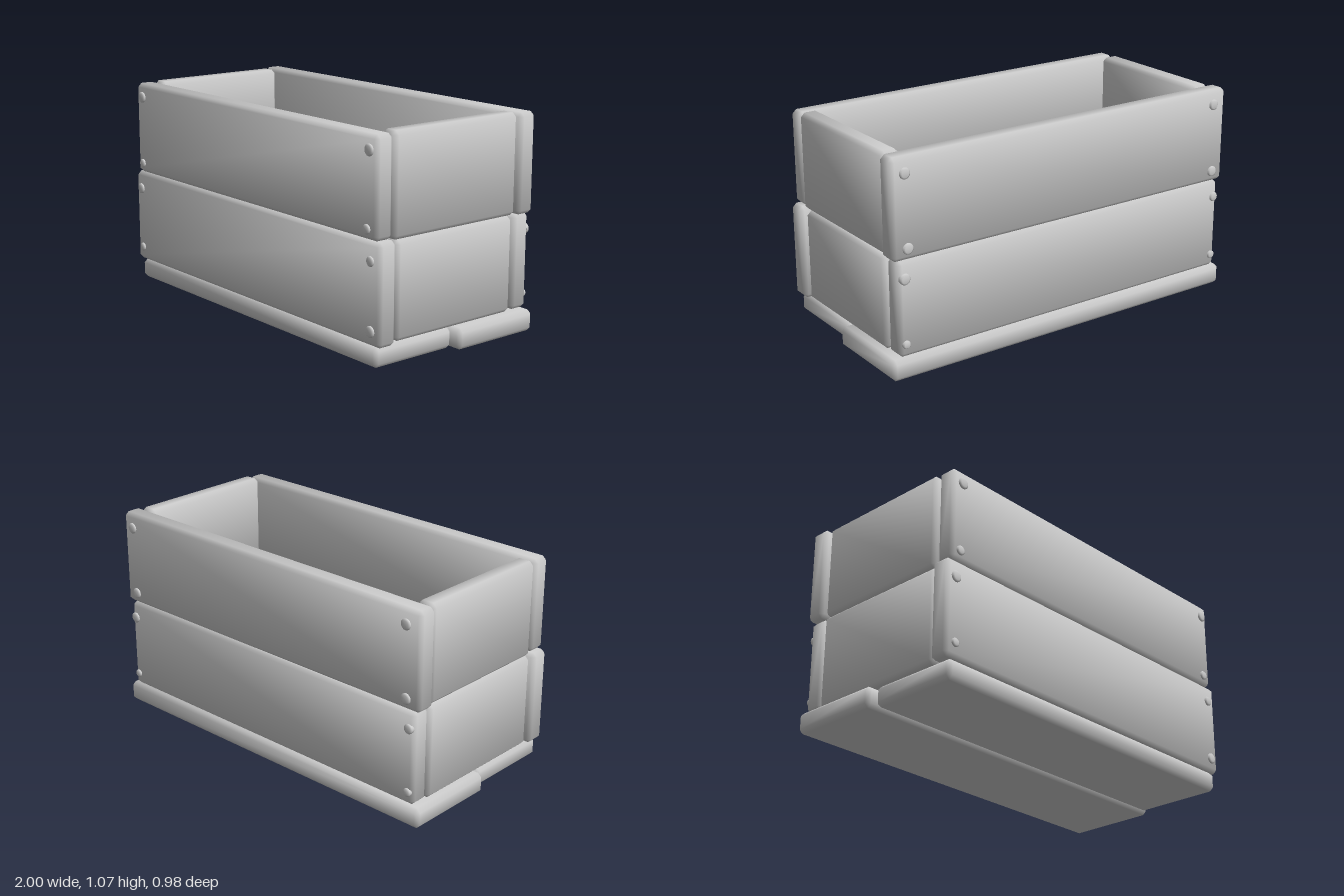
import * as THREE from 'three';
import { ConvexGeometry } from 'three/addons/geometries/ConvexGeometry.js';

const material = new THREE.MeshStandardMaterial({ color: 0xcccccc });
const BEVEL = 0.02;

// Box with chamfered edges and corners, softly shaded across the bevels
function chamferedBox(size) {
  const half = size.map((s) => s / 2);
  const points = [];
  for (let axis = 0; axis < 3; axis++)
    for (const sx of [-1, 1]) for (const sy of [-1, 1]) for (const sz of [-1, 1]) {
      const p = [sx, sy, sz].map((s, i) => s * (half[i] - (i === axis ? 0 : BEVEL)));
      points.push(new THREE.Vector3(...p));
    }
  const geometry = new ConvexGeometry(points);
  const pos = geometry.attributes.position;
  const normal = geometry.attributes.normal;
  for (let v = 0; v < pos.count; v++) {
    const p = [pos.getX(v), pos.getY(v), pos.getZ(v)];
    const n = p.map((c, i) => Math.sign(c) * (Math.abs(c) > half[i] - BEVEL / 2 ? 0.856 : 0.366));
    normal.setXYZ(v, ...n);
  }
  return geometry;
}

// Plank given by its extents on each axis
function plank(name, x, y, z) {
  const spans = [x, y, z];
  const mesh = new THREE.Mesh(chamferedBox(spans.map(([a, b]) => b - a)), material);
  mesh.position.set(...spans.map(([a, b]) => (a + b) / 2));
  mesh.name = name;
  return mesh;
}

// Shallow round nail head facing +z or -z
function nail(name, x, y, r, side) {
  const profile = [[r, -0.01], [r, 0.006], [r * 0.7, 0.012], [0, 0.012]];
  const geometry = new THREE.LatheGeometry(profile.map((p) => new THREE.Vector2(...p)), 16);
  geometry.rotateX((side * Math.PI) / 2);
  const mesh = new THREE.Mesh(geometry, material);
  mesh.position.set(x, y, side * 0.479);
  mesh.name = name;
  return mesh;
}

export function createModel() {
  const group = new THREE.Group();
  group.name = 'woodenCrate';

  group.add(
    // floor boards
    plank('floorBoardFront', [-0.96, 0.955], [0.005, 0.105], [0.005, 0.475]),
    plank('floorBoardBack', [-1, 1], [0, 0.105], [-0.485, 0.003]),
    // long walls
    plank('frontPlankLower', [-0.99, 0.985], [0.105, 0.587], [0.377, 0.48]),
    plank('frontPlankUpper', [-0.965, 0.96], [0.587, 1.06], [0.38, 0.48]),
    plank('backPlankLower', [-0.965, 0.96], [0.11, 0.58], [-0.48, -0.378]),
    plank('backPlankUpper', [-0.99, 0.985], [0.58, 1.065], [-0.48, -0.378]),
    // short end walls
    plank('leftPlankLower', [0.87, 0.967], [0.11, 0.577], [-0.363, 0.363]),
    plank('leftPlankUpper', [0.87, 0.967], [0.58, 1.067], [-0.38, 0.381]),
    plank('rightPlankLower', [-0.97, -0.87], [0.105, 0.58], [-0.378, 0.375]),
    plank('rightPlankUpper', [-0.97, -0.87], [0.58, 1.063], [-0.375, 0.37]),
  );

  // nail rows: height, x on the right, x on the left, radius on the right, radius on the left
  const frontNails = [
    [0.99, -0.905, 0.91, 0.028, 0.028],
    [0.637, -0.915, 0.897, 0.023, 0.023],
    [0.497, -0.937, 0.923, 0.027, 0.024],
    [0.176, -0.935, 0.925, 0.021, 0.027],
  ];
  const backNails = [
    [0.99, -0.905, 0.915, 0.027, 0.027],
    [0.637, -0.913, 0.907, 0.027, 0.027],
    [0.495, -0.933, 0.927, 0.024, 0.027],
    [0.175, -0.933, 0.927, 0.021, 0.02],
  ];
  for (const [name, rows, side] of [['frontNail', frontNails, 1], ['backNail', backNails, -1]])
    for (const [y, xRight, xLeft, rRight, rLeft] of rows)
      group.add(nail(name, xRight, y, rRight, side), nail(name, xLeft, y, rLeft, side));

  return group;
}
